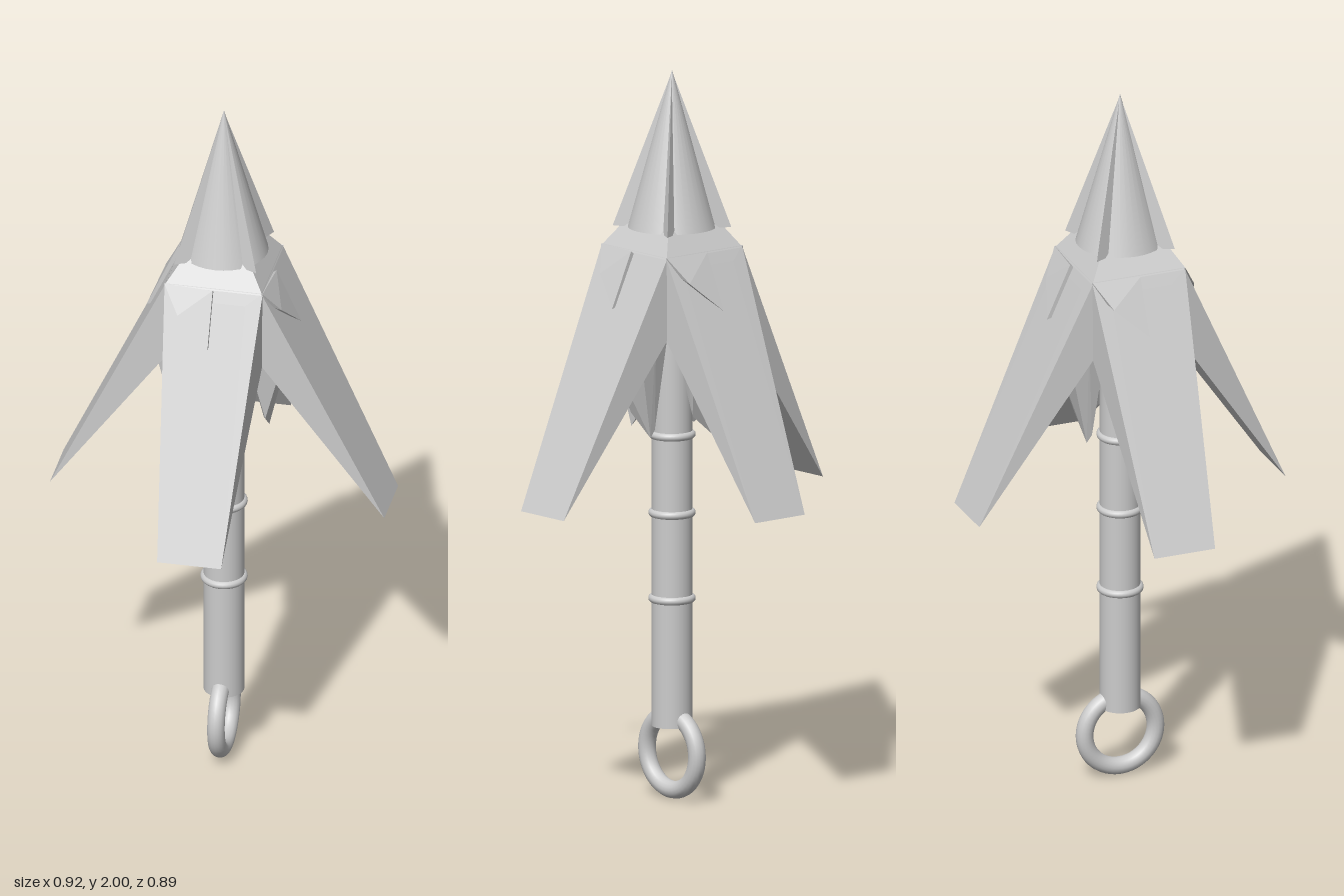
import * as THREE from 'three';
import { ConvexGeometry } from 'three/addons/geometries/ConvexGeometry.js';

const flat = new THREE.MeshStandardMaterial({ color: 0xcccccc, flatShading: true });
const smooth = new THREE.MeshStandardMaterial({ color: 0xcccccc });

function add(parent, name, geometry, material, x = 0, y = 0, z = 0) {
  const mesh = new THREE.Mesh(geometry, material);
  mesh.name = name;
  mesh.position.set(x, y, z);
  parent.add(mesh);
  return mesh;
}

// Faceted solid spanning a few corner points
const hull = (points) => new ConvexGeometry(points.map((p) => new THREE.Vector3(...p)));
// Pairs of points mirrored in x
const pairs = (points) => points.flatMap(([x, y, z]) => [[x, y, z], [-x, y, z]]);

export function createModel() {
  const model = new THREE.Group();
  model.name = 'barbedSpear';

  // Handle with bands and end ring
  add(model, 'handle', new THREE.CylinderGeometry(0.055, 0.055, 1.25, 32), smooth, 0, 0.825, 0);
  for (const y of [0.55, 0.785, 1.0]) {
    const band = add(model, 'handleBand', new THREE.TorusGeometry(0.053, 0.011, 12, 40), smooth, 0, y, 0);
    band.rotation.x = Math.PI / 2;
  }
  const ring = add(model, 'endRing', new THREE.TorusGeometry(0.103, 0.024, 16, 48), smooth, 0, 0.127, 0);
  ring.rotation.y = Math.PI / 2;

  // Square head: core and sloping collar
  add(model, 'headCore', new THREE.BoxGeometry(0.25, 0.16, 0.25), flat, 0, 1.435, 0);
  add(model, 'collar', hull([
    ...pairs([[0.135, 1.515, 0.135], [0.135, 1.515, -0.135]]),
    ...pairs([[0.06, 1.63, 0.06], [0.06, 1.63, -0.06]]),
  ]), flat);

  // Pointed tip
  add(model, 'tipCone', new THREE.ConeGeometry(0.12, 0.43, 32), smooth, 0, 1.785, 0);

  for (let i = 0; i < 4; i++) {
    const side = new THREE.Group();
    side.name = 'bladeSide';
    side.rotation.y = (i * Math.PI) / 2;
    model.add(side);

    // Swept-back blade, thinning to a chisel edge
    const reach = i % 2 ? 0.46 : 0.445;
    add(side, 'blade', hull(pairs([
      [0.135, 1.52, 0.132], [0.09, 1.485, 0.149],
      [0.088, 0.835, reach], [0.135, 1.31, 0.12],
    ])), flat);

    // Raised flap over one half of the blade
    add(side, 'flap', hull([
      [-0.135, 1.52, 0.135], [0, 1.52, 0.145], [0, 1.37, 0.213], [-0.09, 1.45, 0.178],
      [-0.13, 1.49, 0.12], [0, 1.5, 0.12], [0, 1.38, 0.18],
    ]), flat);

    // Short barb below the blade
    add(side, 'innerBarb', hull([
      ...pairs([[0.075, 1.33, 0.12], [0.07, 1.25, 0.17], [0.06, 1.33, 0.06]]),
      [0.045, 1.01, 0.115], [-0.03, 1.07, 0.12], [0.045, 1.03, 0.1],
    ]), flat);

    // Narrow corner ridge running up to the point
    const ridge = add(side, 'tipRidge', hull([
      ...pairs([[0.022, 1.57, 0.1]]), [0, 1.57, 0.16], [0, 1.995, 0], [0, 1.57, 0.03],
    ]), flat);
    ridge.rotation.y = Math.PI / 4;
  }
  return model;
}
